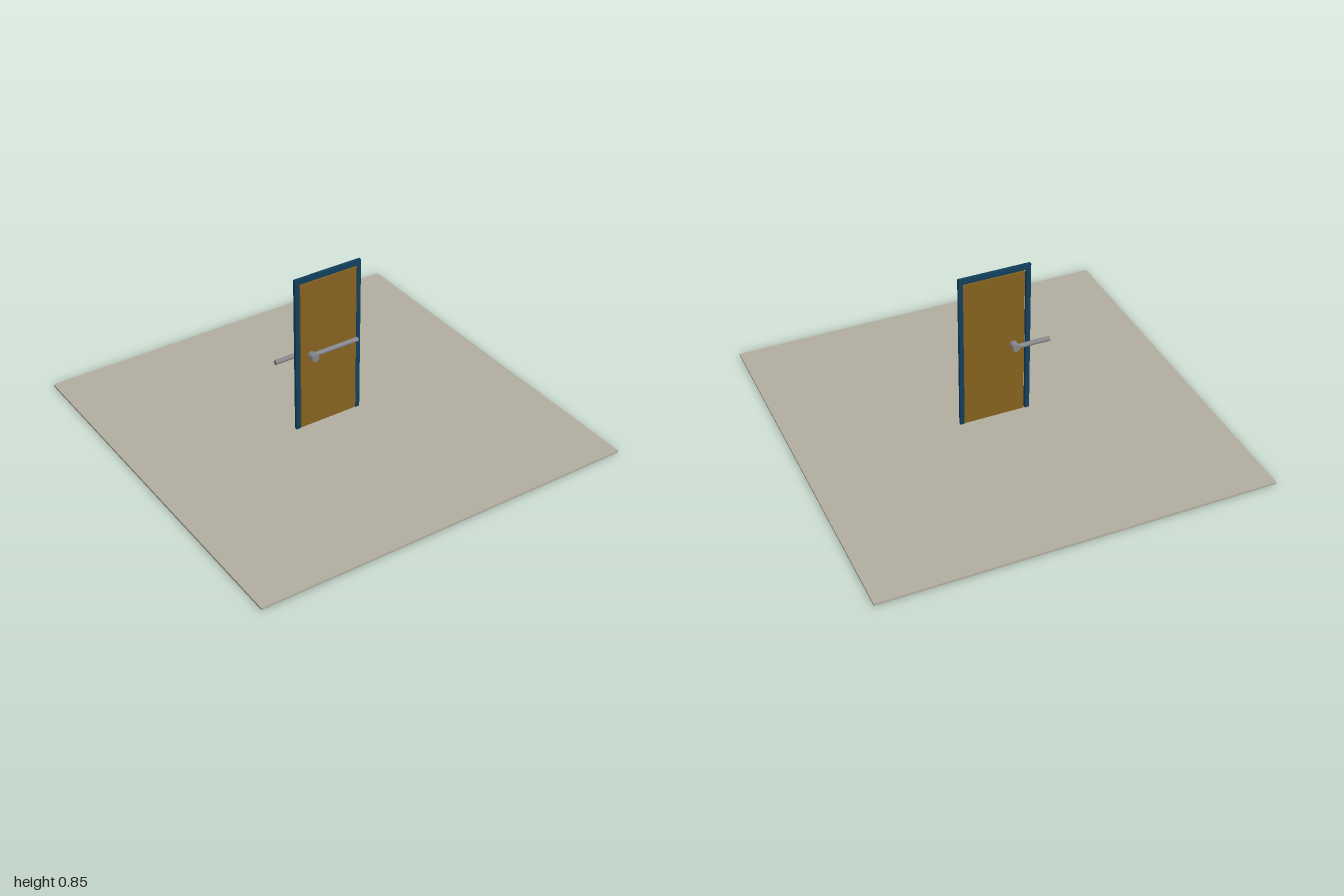
import * as THREE from 'three';

export function createModel() {
  const model = new THREE.Group();
  model.name = 'doorOnFloor';

  const mat = (color) => new THREE.MeshStandardMaterial({ color });
  const floorMat = mat(0xb1ada0);
  const frameMat = mat(0x113f5c);
  const doorMat = mat(0x85611f);
  const metalMat = mat(0x85858a);

  const add = (name, geometry, material) => {
    const mesh = new THREE.Mesh(geometry, material);
    mesh.name = name;
    model.add(mesh);
    return mesh;
  };

  // Box given by its extents on each axis
  const box = (name, material, [x0, x1], [y0, y1], [z0, z1]) =>
    add(name, new THREE.BoxGeometry(x1 - x0, y1 - y0, z1 - z0), material)
      .position.set((x0 + x1) / 2, (y0 + y1) / 2, (z0 + z1) / 2);

  // Round lever lying along x
  const lever = (name, x0, x1, y, z) => {
    const mesh = add(name, new THREE.CylinderGeometry(0.012, 0.012, x1 - x0, 32), metalMat);
    mesh.rotation.z = Math.PI / 2;
    mesh.position.set((x0 + x1) / 2, y, z);
  };

  const floorTop = 0.012;
  box('floor', floorMat, [-1, 1], [0, floorTop], [-1, 1]);

  // Frame: two posts and a lintel
  const depth = [-0.008, 0.008];
  box('rightPost', frameMat, [-0.186, -0.163], [floorTop, 0.85], depth);
  box('leftPost', frameMat, [0.16, 0.182], [floorTop, 0.85], depth);
  box('lintel', frameMat, [-0.163, 0.16], [0.822, 0.85], depth);

  // Door panel, hung on the left post with a gap at the latch side
  box('doorPanel', doorMat, [-0.156, 0.163], [floorTop, 0.814], [-0.005, 0.005]);

  // Handle: spindle through the door with one lever on each side
  const spindle = add('handleSpindle', new THREE.CylinderGeometry(0.019, 0.019, 0.094, 32), metalMat);
  spindle.rotation.x = Math.PI / 2;
  spindle.position.set(-0.098, 0.415, 0);
  lever('frontLever', -0.098, 0.16, 0.417, 0.017);
  lever('backLever', -0.277, -0.098, 0.414, -0.032);

  return model;
}
